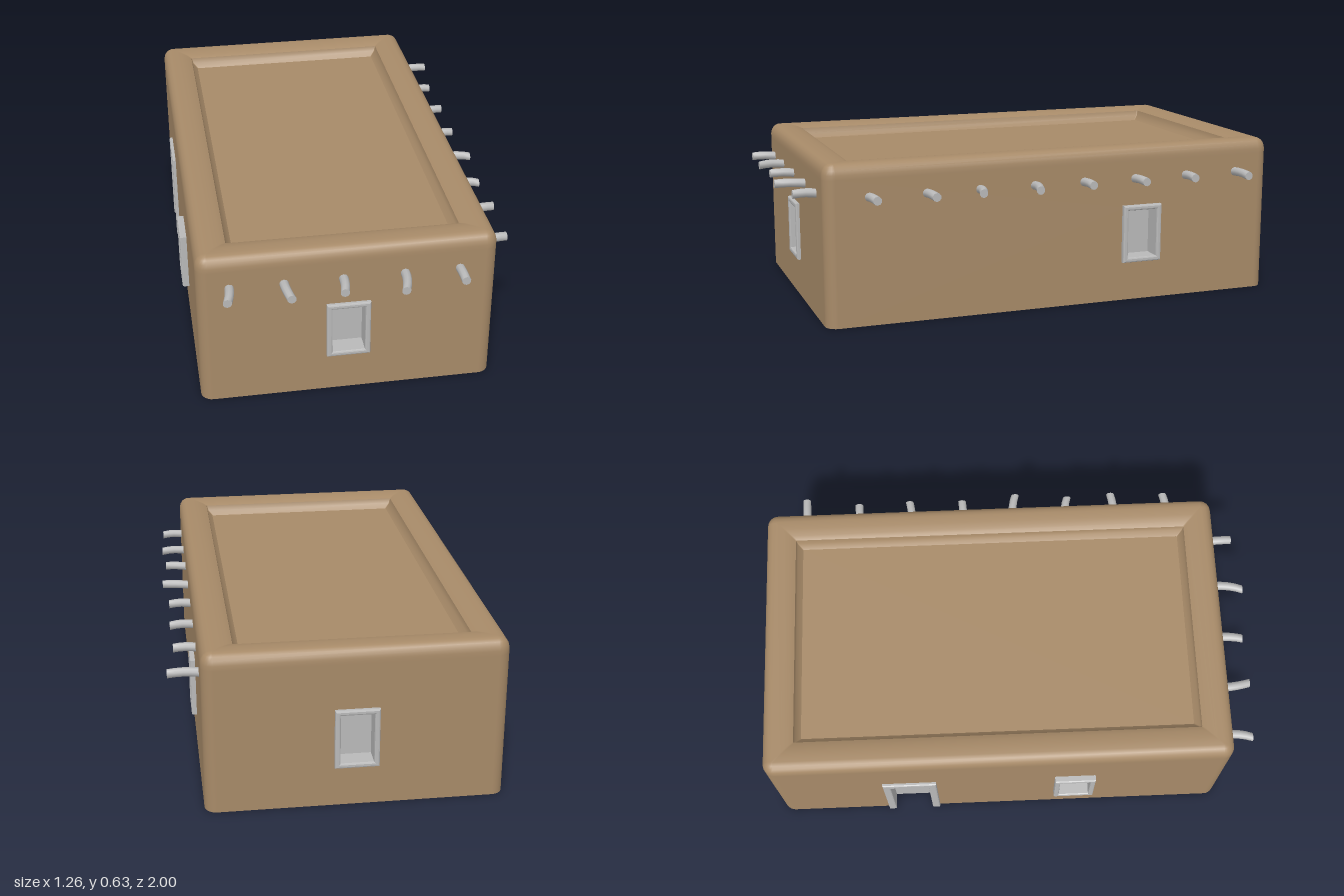
import * as THREE from 'three';

const CX = -0.045, CZ = -0.05;   // centre of the building
const HW = 0.56, HD = 0.933;     // half width and half depth
const R = 0.045, WALL_TOP = 0.57; // corner radius, top of the flat wall sheets

const clay = new THREE.MeshStandardMaterial({ color: 0xa78a68, side: THREE.DoubleSide });
clay.name = 'clay';
const stone = new THREE.MeshStandardMaterial({ color: 0xb9b9b9 });
stone.name = 'paleGrey';

function add(parent, name, geometry, material) {
  const mesh = new THREE.Mesh(geometry, material);
  mesh.name = name;
  parent.add(mesh);
  return mesh;
}

const rect = (u, w, y0, y1) => [[u - w, y0], [u + w, y0], [u + w, y1], [u - w, y1]];
const vec = (pts) => pts.map(([x, y]) => new THREE.Vector2(x, y));

// Bands between rounded rectangles, each given as [inset, height]
function ringBands(profile) {
  const steps = 6, pos = [], idx = [], n = 4 * (steps + 1);
  for (const [inset, y] of profile) {
    const r = Math.max(R - inset, 0.004);
    for (let c = 0; c < 4; c++) {
      const sx = c === 0 || c === 3 ? 1 : -1, sz = c < 2 ? 1 : -1;
      for (let k = 0; k <= steps; k++) {
        const a = (c + k / steps) * Math.PI / 2;
        pos.push(CX + sx * (HW - inset - r) + r * Math.cos(a), y,
          CZ + sz * (HD - inset - r) + r * Math.sin(a));
      }
    }
  }
  for (let j = 0; j < profile.length - 1; j++) {
    for (let i = 0; i < n; i++) {
      const a = j * n + i, b = j * n + (i + 1) % n;
      idx.push(a, a + n, b, b, a + n, b + n);
    }
  }
  const g = new THREE.BufferGeometry();
  g.setAttribute('position', new THREE.Float32BufferAttribute(pos, 3));
  g.setIndex(idx);
  g.computeVertexNormals();
  return g;
}

// Deep bevelled surround, from inside the wall to "out" in front of it
function surround(shape, deep, out) {
  const b = 0.006;
  const g = new THREE.ExtrudeGeometry(shape, {
    depth: deep + out - 2 * b, bevelEnabled: true, bevelSize: b, bevelThickness: b, bevelSegments: 2,
  });
  return g.translate(0, 0, b - deep);
}

function addWindow(face, u, out) {
  const win = new THREE.Group();
  win.name = 'window';
  win.position.set(u, 0.275, 0);
  const shape = new THREE.Shape(vec(rect(0, 0.077, -0.111, 0.111)));
  shape.holes.push(new THREE.Path(vec(rect(0, 0.068, -0.103, 0.103)).reverse()));
  add(win, 'windowFrame', surround(shape, 0.07, out), stone);
  add(win, 'windowPane', new THREE.BoxGeometry(0.15, 0.216, 0.008), stone).position.z = -0.064;
  face.add(win);
}

function addDoor(face, u, out) {
  const door = new THREE.Group();
  door.name = 'door';
  door.position.x = u;
  const shape = new THREE.Shape(vec([[-0.104, 0.006], [-0.084, 0.006], [-0.084, 0.354],
    [0.084, 0.354], [0.084, 0.006], [0.104, 0.006], [0.104, 0.376], [-0.104, 0.376]]));
  add(door, 'doorFrame', surround(shape, 0.065, out), stone);
  add(door, 'doorPanel', new THREE.BoxGeometry(0.19, 0.36, 0.01).translate(0, 0.182, -0.055), stone);
  face.add(door);
}

// Slightly bent log poking through the wall
function addLog(face, u, length, bend) {
  const inside = 0.06, total = length + inside;
  const g = new THREE.CylinderGeometry(0.017, 0.018, total, 10, 6);
  g.rotateX(Math.PI / 2).translate(0, 0, total / 2 - inside);
  const p = g.attributes.position;
  for (let i = 0; i < p.count; i++) {
    const t = p.getZ(i) / length;
    p.setX(i, p.getX(i) + bend * t * Math.abs(t));
    p.setY(i, p.getY(i) + 0.004 * Math.sin(t * 3));
  }
  g.computeVertexNormals();
  add(face, 'roofBeam', g, stone).position.set(u, 0.5, 0);
}

export function createModel() {
  const model = new THREE.Group();
  model.name = 'flatRoofedHouse';

  // Each face has its own frame: local x along the wall, local z outward.
  // Logs are [position, length, bend].
  const faces = [
    { name: 'frontWall', angle: 0, half: HW, dist: HD, windows: [[0, 0.016]],
      logs: [[-0.44, 0.095, -0.015], [-0.24, 0.105, 0.015], [-0.02, 0.095, -0.01],
        [0.21, 0.117, -0.02], [0.417, 0.09, 0.002]] },
    { name: 'leftWall', angle: Math.PI / 2, half: HD, dist: HW, windows: [[0.36, 0.02]],
      logs: [[-0.76, 0.085, 0.01], [-0.535, 0.095, 0.01], [-0.323, 0.085, -0.014],
        [-0.098, 0.105, -0.016], [0.11, 0.085, 0.005], [0.33, 0.09, 0.01],
        [0.555, 0.085, 0.002], [0.78, 0.115, 0.002]] },
    { name: 'backWall', angle: Math.PI, half: HW, dist: HD, windows: [[0, 0.017]], logs: [] },
    { name: 'rightWall', angle: -Math.PI / 2, half: HD, dist: HW, windows: [[0.31, 0.027]],
      door: -0.37, logs: [] },
  ];

  faces.forEach((f, i) => {
    const face = new THREE.Group();
    face.name = f.name;
    face.rotation.y = f.angle;
    face.position.set(CX + f.dist * Math.sin(f.angle), 0, CZ + f.dist * Math.cos(f.angle));
    model.add(face);

    // Wall sheet with openings
    const w = f.half - R;
    const outline = [[-w, 0]];
    if (f.door !== undefined) {
      const [a, b, c, d] = rect(f.door, 0.094, 0, 0.365);
      outline.push(a, d, c, b);
      addDoor(face, f.door, 0.014);
    }
    outline.push([w, 0], [w, WALL_TOP], [-w, WALL_TOP]);
    const sheet = new THREE.Shape(vec(outline));
    for (const [u, out] of f.windows) {
      sheet.holes.push(new THREE.Path(vec(rect(u, 0.073, 0.168, 0.382)).reverse()));
      addWindow(face, u, out);
    }
    add(face, 'wallSheet', new THREE.ShapeGeometry(sheet), clay);
    f.logs.forEach((log) => addLog(face, ...log));

    // Rounded corner at the end of this wall
    const corner = new THREE.CylinderGeometry(R, R, WALL_TOP, 6, 1, true, i * Math.PI / 2, Math.PI / 2);
    const sx = i < 2 ? 1 : -1, sz = i === 0 || i === 3 ? 1 : -1;
    corner.translate(CX + sx * (HW - R), WALL_TOP / 2, CZ + sz * (HD - R));
    add(model, 'wallCorner', corner, clay);
  });

  // Rounded parapet, then the step down to the sunken roof
  add(model, 'parapet', ringBands([[0, WALL_TOP], [0, 0.588], [0.004, 0.605], [0.013, 0.619],
    [0.026, 0.627], [0.042, 0.63], [0.075, 0.629], [0.105, 0.624], [0.123, 0.616]]), clay);
  add(model, 'parapetInside', ringBands([[0.123, 0.616], [0.128, 0.595], [0.148, 0.575]]), clay);
  const roof = new THREE.PlaneGeometry(2 * (HW - 0.147), 2 * (HD - 0.147)).rotateX(-Math.PI / 2);
  add(model, 'roof', roof, clay).position.set(CX, 0.575, CZ);

  return model;
}
